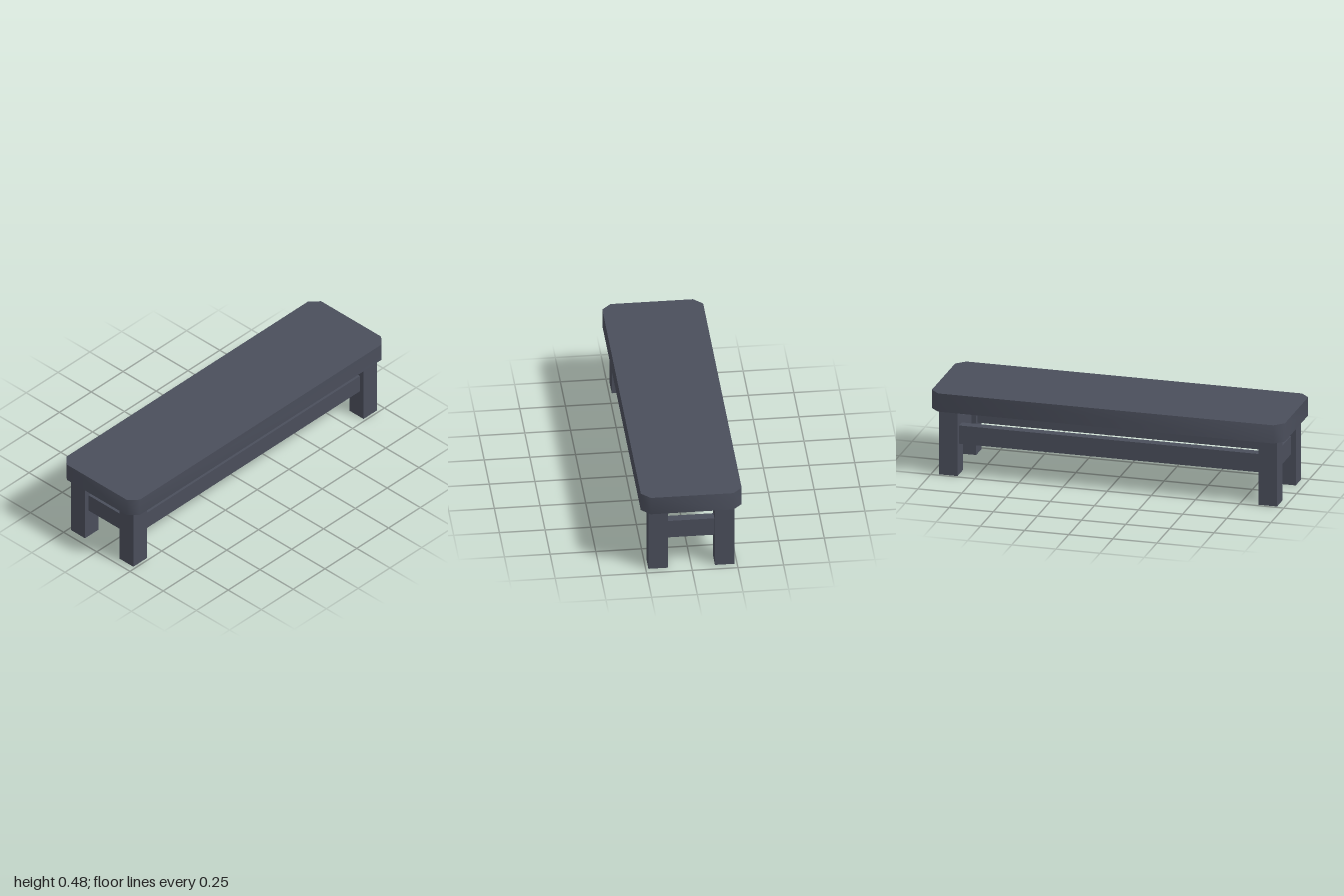
import * as THREE from 'three';
import { toCreasedNormals } from 'three/addons/utils/BufferGeometryUtils.js';

const slate = new THREE.MeshStandardMaterial({ color: 0x4a4e5b });
slate.name = 'slate';

const LEG = 0.106, LEG_X = 0.182, LEG_Z = 0.905;  // leg thickness and centres
const SEAT_Y = 0.375, SEAT_H = 0.105;
const RAIL_Y = 0.23, RAIL_H = 0.105, RAIL_T = LEG / 2;

function box(name, w, h, d, x, y, z) {
  const mesh = new THREE.Mesh(new THREE.BoxGeometry(w, h, d), slate);
  mesh.name = name;
  mesh.position.set(x, y, z);
  return mesh;
}

// Slab with cut corners, its sides shaded smoothly around the corners
function createSeat() {
  const x = 0.276, z = 1, c = 0.05;
  const outline = new THREE.Shape([
    [x, c - z], [x, z - c], [x - c, z], [c - x, z],
    [-x, z - c], [-x, c - z], [c - x, -z], [x - c, -z],
  ].map(([a, b]) => new THREE.Vector2(a, b)));
  const slab = new THREE.ExtrudeGeometry(outline, { depth: SEAT_H, bevelEnabled: false });
  slab.rotateX(-Math.PI / 2);
  const seat = new THREE.Mesh(toCreasedNormals(slab, Math.PI / 3), slate);
  seat.name = 'seat';
  seat.position.y = SEAT_Y;
  return seat;
}

export function createModel() {
  const bench = new THREE.Group();
  bench.name = 'bench';
  bench.add(createSeat());

  // Four square legs
  for (const [sx, side] of [[1, 'Left'], [-1, 'Right']]) {
    for (const [sz, end] of [[1, 'front'], [-1, 'back']]) {
      bench.add(box(`${end}${side}Leg`, LEG, SEAT_Y, LEG, sx * LEG_X, SEAT_Y / 2, sz * LEG_Z));
    }
  }

  // Rails joining the legs, centred on them
  for (const [s, side, end] of [[1, 'left', 'front'], [-1, 'right', 'back']]) {
    bench.add(box(`${side}Rail`, RAIL_T, RAIL_H, 2 * LEG_Z - LEG, s * LEG_X, RAIL_Y, 0));
    bench.add(box(`${end}Rail`, 2 * LEG_X - LEG, RAIL_H, RAIL_T, 0, RAIL_Y, s * LEG_Z));
  }
  return bench;
}
